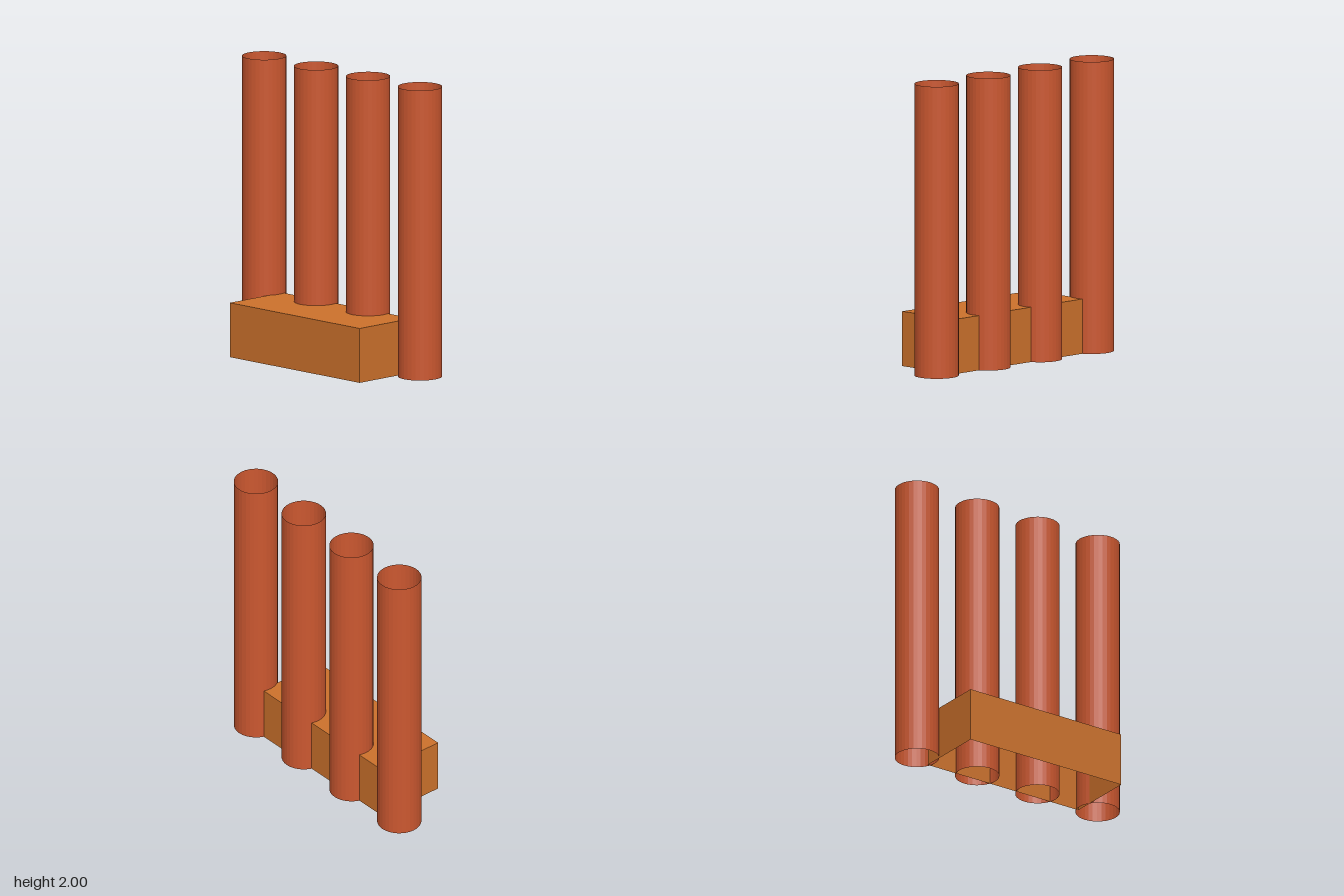
import * as THREE from 'three';

export function createModel() {
  const model = new THREE.Group();
  const orange = new THREE.MeshStandardMaterial({ color: 0xcd722c, side: THREE.DoubleSide });
  orange.name = 'orange';
  const brickRed = new THREE.MeshStandardMaterial({ color: 0xcc5830, side: THREE.DoubleSide, flatShading: true });
  brickRed.name = 'brick red';

  // base: a box without its bottom face (BoxGeometry face order: +x -x +y -y +z -z, 6 indices each)
  const boxGeometry = new THREE.BoxGeometry(1.25, 0.375, 0.5);
  const index = Array.from(boxGeometry.index.array);
  index.splice(18, 6);
  boxGeometry.setIndex(index);
  boxGeometry.clearGroups();
  const base = new THREE.Mesh(boxGeometry, orange);
  base.name = 'base';
  base.position.set(0, 0.1875, 0.05);
  model.add(base);

  // row of open pipes along the back
  const pipeGeometry = new THREE.CylinderGeometry(0.15, 0.15, 2, 32, 1, true);
  for (let i = 0; i < 4; i++) {
    const pipe = new THREE.Mesh(pipeGeometry, brickRed);
    pipe.name = `pipe${i + 1}`;
    pipe.position.set(-0.75 + i * 0.5, 1, -0.15);
    model.add(pipe);
  }
  return model;
}
